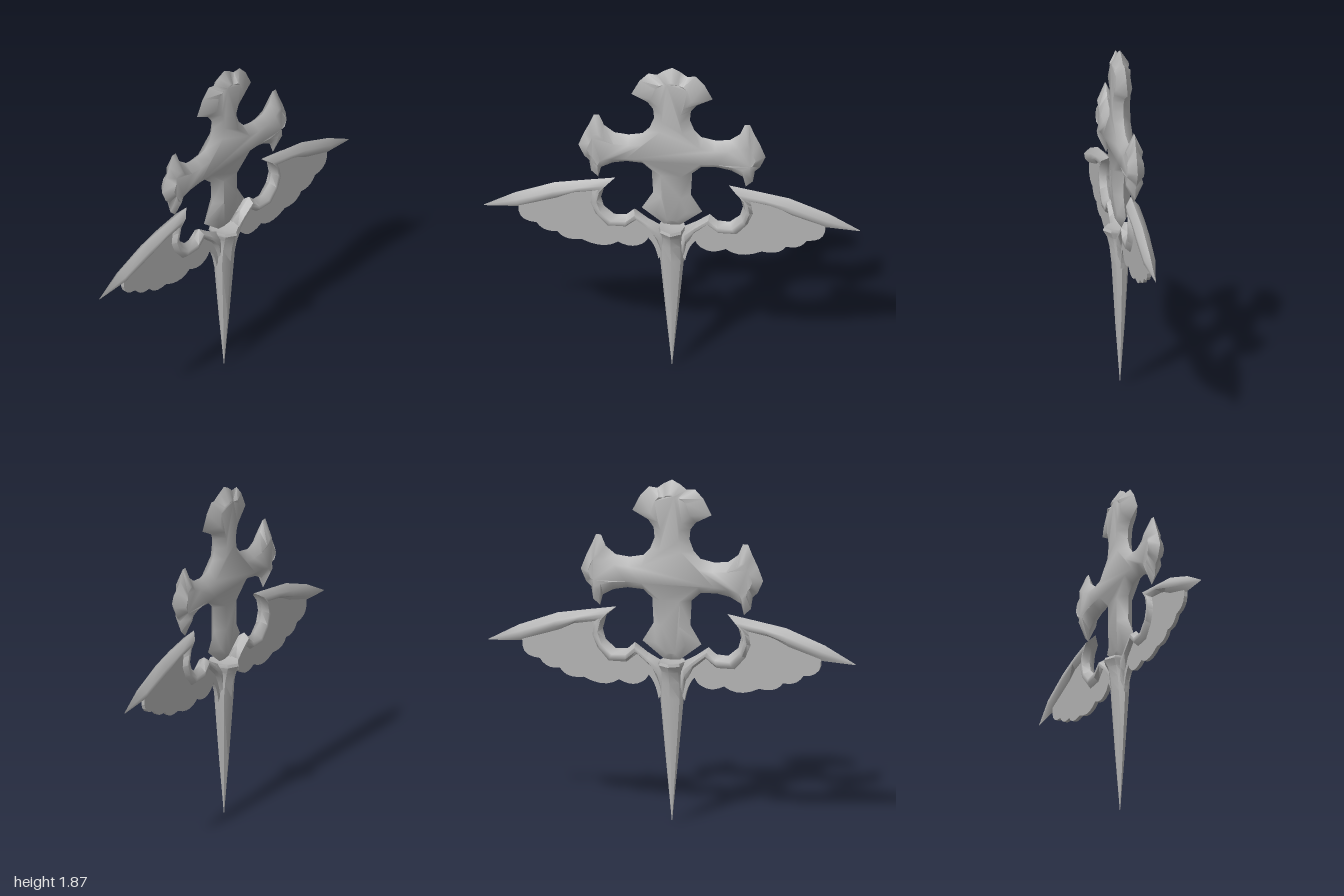
import * as THREE from 'three';
import { toCreasedNormals } from 'three/addons/utils/BufferGeometryUtils.js';

const metal = new THREE.MeshStandardMaterial({ color: 0xb4b4b4 });
metal.name = 'grey metal';

function build(name, points, index, crease = 1.0) {
  const g = new THREE.BufferGeometry();
  g.setAttribute('position', new THREE.Float32BufferAttribute(points.flat(), 3));
  g.setIndex(index);
  const mesh = new THREE.Mesh(toCreasedNormals(g, crease), metal);
  mesh.name = name;
  return mesh;
}

// Skin a list of equal-sized closed rings
function loft(name, rings, crease) {
  const n = rings[0].length, index = [];
  for (let r = 0; r < rings.length - 1; r++) {
    for (let j = 0; j < n; j++) {
      const k = (j + 1) % n;
      const a = r * n + j, b = r * n + k, c = b + n, d = a + n;
      index.push(a, d, c, a, c, b);
    }
  }
  return build(name, rings.flat(), index, crease);
}

// Cross: sharp rim at z = 0 rising to a raised face on both sides
function createCross() {
  // x, y and optional face height, right half from top to bottom
  const half = [
    [0, 1.885], [0.045, 1.862], [0.08, 1.835, 0.03], [0.125, 1.84], [0.172, 1.79, 0.038], [0.215, 1.705],
    [0.13, 1.66], [0.1, 1.62], [0.095, 1.565], [0.118, 1.505], [0.155, 1.465], [0.23, 1.45],
    [0.305, 1.458], [0.36, 1.5], [0.385, 1.56], [0.413, 1.56], [0.438, 1.5, 0.036], [0.465, 1.445],
    [0.495, 1.367], [0.465, 1.3], [0.438, 1.275, 0.036], [0.428, 1.21], [0.39, 1.175], [0.375, 1.235],
    [0.315, 1.268], [0.24, 1.283], [0.155, 1.278], [0.107, 1.235], [0.1, 1.1], [0.16, 1.0, 0.03],
    [0.045, 0.91, 0.025], [0, 0.905, 0.025],
  ];
  const outline = half.concat(half.slice(1, -1).reverse().map(([x, y, h]) => [-x, y, h]));
  const n = outline.length;

  // Face corners lie halfway between the rim and the centre line of the arms
  const inner = outline.map(([x, y]) => {
    const upright = [0, THREE.MathUtils.clamp(y, 0.98, 1.75)];
    const arm = [THREE.MathUtils.clamp(x, -0.4, 0.4), 1.365];
    const dist = (p) => Math.hypot(p[0] - x, p[1] - y);
    const p = dist(upright) < dist(arm) ? upright : arm;
    return new THREE.Vector2((x + p[0]) / 2, (y + p[1]) / 2);
  });

  const points = [
    ...outline.map(([x, y]) => [x, y, 0]),
    ...inner.map((p, i) => [p.x, p.y, outline[i][2] ?? 0.045]),
    ...inner.map((p, i) => [p.x, p.y, -(outline[i][2] ?? 0.045)]),
  ];
  const index = [];
  for (let i = 0; i < n; i++) {
    const k = (i + 1) % n;
    index.push(i, n + i, n + k, i, n + k, k);
    index.push(i, 2 * n + k, 2 * n + i, i, k, 2 * n + k);
  }
  for (const t of THREE.ShapeUtils.triangulateShape(inner, [])) {
    let [a, b, c] = t;
    const area = (inner[b].x - inner[a].x) * (inner[c].y - inner[a].y)
      - (inner[b].y - inner[a].y) * (inner[c].x - inner[a].x);
    if (area < 0) [b, c] = [c, b];
    index.push(n + a, n + b, n + c, 2 * n + a, 2 * n + c, 2 * n + b);
  }
  return build('cross', points, index, 1.15);
}

// Spike: eight-sided tapering blade with a flared, dished head
function createSpike() {
  const sections = [ // y, half width, half depth
    [0.02, 0, 0], [0.35, 0.032, 0.025], [0.7, 0.064, 0.046], [0.79, 0.062, 0.056],
    [0.85, 0.058, 0.07], [0.885, 0.073, 0.092], [0.9, 0.07, 0.085], [0.88, 0, 0],
  ];
  return loft('spike', sections.map(([y, w, d]) => Array.from({ length: 8 }, (_, j) => {
    const a = j * Math.PI / 4, k = j % 2 ? 1.08 : 1;
    return [Math.cos(a) * w * k, y, Math.sin(a) * d * (j % 2 ? 0.9 : 1)];
  })), 0.7);
}

// Wing: bevelled bone with a hooked arm, plus a thin scalloped membrane
function createWing(name) {
  const wing = new THREE.Group();
  wing.name = name;

  const bone = [ // upper/inner edge x, y; lower/outer edge x, y; half depth
    [0.995, 0.95, 0.995, 0.945, 0], [0.83, 1.04, 0.81, 0.955, 0.03], [0.62, 1.12, 0.64, 1.01, 0.035],
    [0.46, 1.148, 0.54, 1.06, 0.035], [0.3, 1.175, 0.43, 1.08, 0.035], [0.355, 1.125, 0.43, 1.055, 0.035],
    [0.375, 1.05, 0.435, 1.01, 0.035], [0.36, 0.995, 0.405, 0.94, 0.035], [0.305, 0.948, 0.345, 0.872, 0.035],
    [0.24, 0.952, 0.245, 0.872, 0.035], [0.2, 0.988, 0.185, 0.92, 0.033], [0.13, 0.938, 0.115, 0.86, 0.033],
    [0.06, 0.9, 0.08, 0.79, 0.033], [0.03, 0.84, 0.06, 0.69, 0.02],
  ];
  wing.add(loft('wingBone', bone.map(([ax, ay, bx, by, h]) => {
    const at = (t, z) => [ax + (bx - ax) * t, ay + (by - ay) * t, z];
    return [at(0, 0), at(0.35, h), at(0.65, h), at(1, 0), at(0.65, -h), at(0.35, -h)];
  }), 1.0));

  // Membrane, with feather lobes between successive cusps
  const shape = new THREE.Shape();
  shape.moveTo(0.81, 0.965);
  const cusps = [[0.81, 0.965], [0.715, 0.868], [0.605, 0.822], [0.475, 0.782],
    [0.285, 0.782], [0.165, 0.775], [0.125, 0.82]];
  const controls = [[0.82, 0.87], [0.68, 0.81], [0.57, 0.765], [0.36, 0.725], [0.215, 0.745], [0.135, 0.79]];
  controls.forEach((c, i) => shape.quadraticCurveTo(...c, ...cusps[i + 1]));
  shape.quadraticCurveTo(0.085, 0.78, 0.07, 0.69);
  for (const p of [[0.04, 0.75], [0.1, 0.87], [0.19, 0.94], [0.25, 0.9], [0.33, 0.9], [0.39, 0.96],
    [0.41, 1.03], [0.41, 1.09], [0.53, 1.1], [0.65, 1.05]]) shape.lineTo(...p);
  const geometry = new THREE.ExtrudeGeometry(shape, { depth: 0.02, bevelEnabled: false, curveSegments: 5 });
  geometry.translate(0, 0, -0.01);
  const membrane = new THREE.Mesh(geometry, metal);
  membrane.name = 'wingMembrane';
  wing.add(membrane);
  return wing;
}

export function createModel() {
  const model = new THREE.Group();
  model.name = 'wingedCross';
  const rightWing = createWing('rightWing');
  rightWing.rotation.y = Math.PI; // the wing is the same front and back
  model.add(createCross(), createSpike(), createWing('leftWing'), rightWing);
  return model;
}
